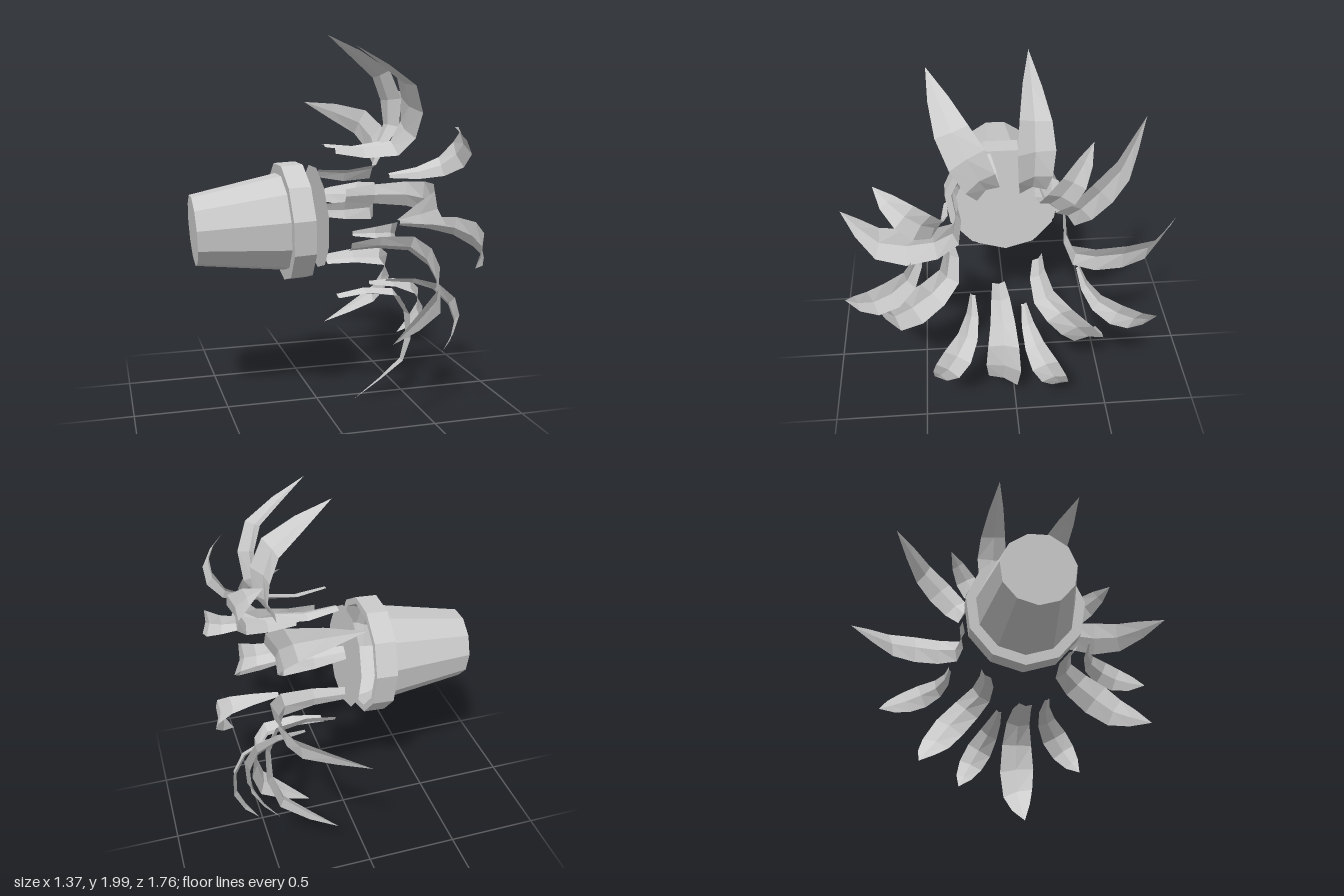
import * as THREE from 'three';

const grey = new THREE.MeshStandardMaterial({ color: 0xcccccc, flatShading: true, side: THREE.DoubleSide });
grey.name = 'plain grey';

const TILT = 0.055; // the whole plant leans slightly up from the x axis
const CENTRE_Y = 1.03;

// Leaf profiles: [fraction of the way outwards, x, width]
const LARGE = [
  [0.05, 0.08, 0.07], [0.015, 0.24, 0.1], [0.05, 0.41, 0.13], [0.22, 0.475, 0.165],
  [0.45, 0.48, 0.19], [0.67, 0.43, 0.165], [0.84, 0.29, 0.1], [1, 0.135, 0],
];
const SMALL = [
  [0, 0.3, 0.03], [0.03, 0.45, 0.07], [0.14, 0.57, 0.11], [0.36, 0.635, 0.15],
  [0.6, 0.64, 0.14], [0.82, 0.59, 0.09], [1, 0.52, 0],
];

// Leaf positions: base z, base y, tip z, tip y, sideways bow
const LARGE_LEAVES = [
  [0.12, 1.38, 0.4, 1.93, 0.02], [-0.08, 1.38, -0.08, 2.0, 0.01],
  [-0.22, 1.22, -0.67, 1.63, 0.03], [-0.25, 1.02, -0.88, 1.03, 0.03],
  [-0.12, 0.79, -0.48, 0.3, 0.04], [0.07, 0.64, 0.075, 0.01, 0],
  [0.31, 0.95, 0.77, 0.55, 0.03], [0.26, 1.19, 0.88, 1.16, 0],
];
const SMALL_LEAVES = [
  [-0.11, 1.38, -0.34, 1.73, 0.01], [-0.33, 0.87, -0.72, 0.7, 0.02],
  [-0.05, 0.64, -0.25, 0.27, 0.01], [0.22, 0.72, 0.44, 0.37, 0.02],
  [0.47, 1.07, 0.85, 0.91, 0.01], [0.34, 1.29, 0.66, 1.55, 0.02],
];

// Arching leaf, folded along its midrib and twisting towards the tip,
// lofted from three-point sections
function leaf(profile, twist, [bz, by, tz, ty, bow]) {
  const out = new THREE.Vector3(0, ty - by, tz - bz);
  const length = out.length();
  out.normalize();
  // tangent, clockwise as seen from the open end of the pot
  const tangent = new THREE.Vector3(0, out.z, -out.y);
  const bowSide = tangent.clone().multiplyScalar(tangent.y < 0 ? -bow : bow);
  const mid = profile.map(([u, x]) => {
    const p = new THREE.Vector3(x, by, bz)
      .addScaledVector(out, u * length)
      .addScaledVector(bowSide, Math.sin(Math.PI * u));
    p.x -= TILT * (p.y - CENTRE_Y);
    return p;
  });
  const positions = [];
  const index = [];
  profile.forEach(([u, , width], i) => {
    const along = mid[Math.min(i + 1, mid.length - 1)].clone().sub(mid[Math.max(i - 1, 0)]).normalize();
    // upper side: faces inwards at the base and forwards further out
    const upper = new THREE.Vector3().crossVectors(along, tangent).normalize();
    if (upper.x - upper.dot(out) * 0.5 < 0) upper.negate();
    const angle = twist * Math.sqrt(u);
    const side = tangent.clone().multiplyScalar(Math.cos(angle)).addScaledVector(upper, -Math.sin(angle));
    const normal = upper.clone().multiplyScalar(Math.cos(angle)).addScaledVector(tangent, Math.sin(angle));
    for (const s of [-1, 0, 1]) {
      const p = mid[i].clone().addScaledVector(side, s * width / 2);
      // the midrib sinks towards the underside, most near the base
      if (s === 0) p.addScaledVector(normal, -width * (0.2 - 0.14 * Math.sqrt(u)));
      positions.push(p.x, p.y, p.z);
    }
    if (i === 0) return;
    for (let j = 0; j < 2; j++) {
      const a = (i - 1) * 3 + j, b = a + 3;
      index.push(a, a + 1, b, b, a + 1, b + 1);
    }
  });
  const geometry = new THREE.BufferGeometry();
  geometry.setAttribute('position', new THREE.Float32BufferAttribute(positions, 3));
  geometry.setIndex(index);
  geometry.computeVertexNormals();
  return new THREE.Mesh(geometry, grey);
}

export function createModel() {
  const model = new THREE.Group();
  model.name = 'explodedPottedPlant';

  // Hollow pot with a stepped rim, lying on its side
  const profile = [
    [0, 0], [0.187, 0], [0.262, 0.465], [0.316, 0.465], [0.316, 0.58],
    [0.28, 0.58], [0.265, 0.5], [0.24, 0.465], [0.17, 0.03], [0, 0.03],
  ].map(([r, h]) => new THREE.Vector2(r, h));
  const pot = new THREE.Mesh(new THREE.LatheGeometry(profile, 11, Math.PI / 2), grey);
  pot.name = 'pot';
  pot.position.set(-0.67, 1.0, 0.033);
  pot.rotation.z = -Math.PI / 2 + TILT;
  model.add(pot);

  // Soil disc floating in front of the pot's mouth
  const soil = new THREE.Mesh(new THREE.CircleGeometry(0.28, 11, -Math.PI / 2), grey);
  soil.name = 'soil';
  soil.position.set(-0.015, 1.045, 0.022);
  soil.rotation.set(0, Math.PI / 2, TILT, 'ZYX');
  model.add(soil);

  // Two rings of leaves
  for (const [name, shape, twist, places] of [
    ['largeLeaf', LARGE, 0.45, LARGE_LEAVES],
    ['smallLeaf', SMALL, 0.25, SMALL_LEAVES],
  ]) {
    places.forEach((place, i) => {
      const mesh = leaf(shape, twist, place);
      mesh.name = `${name}${i + 1}`;
      model.add(mesh);
    });
  }
  return model;
}
